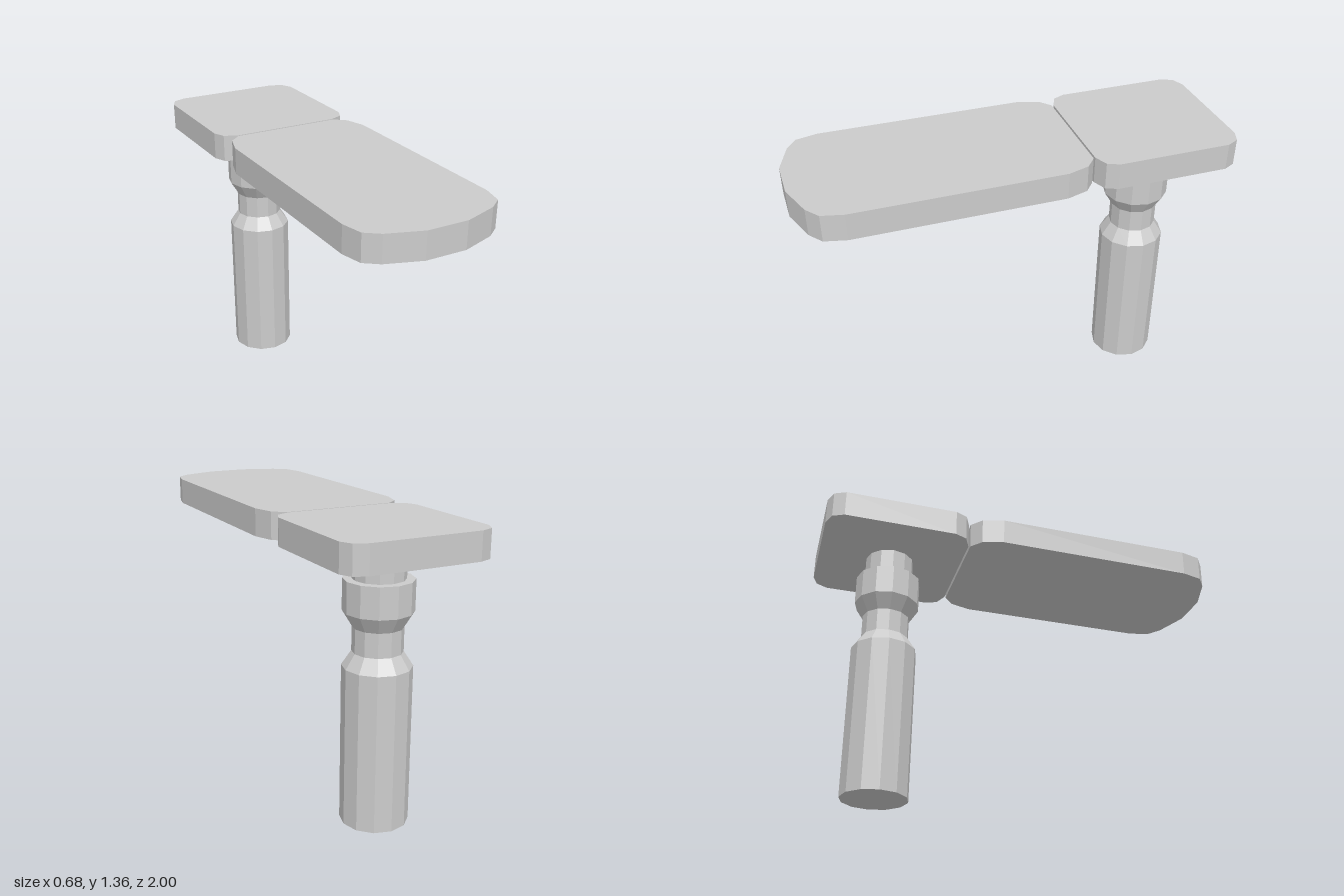
import * as THREE from 'three';

const material = new THREE.MeshStandardMaterial({ color: 0xcccccc, flatShading: true });
const SLAB_BOTTOM = 1.23, SLAB_HEIGHT = 0.125, POST_Z = -0.653;

// Flat slab from one half (+x) of its outline, given as [x, z] from back to front
function slab(name, half) {
  const mirrored = half.map(([x, z]) => [-x, z]).reverse();
  const shape = new THREE.Shape([...half, ...mirrored].map(([x, z]) => new THREE.Vector2(x, -z)));
  const geometry = new THREE.ExtrudeGeometry(shape, { depth: SLAB_HEIGHT, bevelEnabled: false });
  geometry.rotateX(-Math.PI / 2);
  const mesh = new THREE.Mesh(geometry, material);
  mesh.name = name;
  mesh.position.y = SLAB_BOTTOM;
  return mesh;
}

// Twelve-sided turned part from [radius, y] points, bottom to top
function turned(name, profile) {
  const points = profile.map(([r, y]) => new THREE.Vector2(r, y));
  const mesh = new THREE.Mesh(new THREE.LatheGeometry(points, 12), material);
  mesh.name = name;
  mesh.position.z = POST_Z;
  return mesh;
}

export function createModel() {
  const model = new THREE.Group();
  model.name = 'pedestalWithSlabs';

  // Post with a narrowed neck
  model.add(turned('post', [
    [0, 0], [0.155, 0], [0.155, 0.73], [0.112, 0.795],
    [0.112, 0.905], [0.155, 0.975], [0.155, 1.115], [0, 1.115],
  ]));

  // Collar joining the post to the rear slab
  model.add(turned('collar', [[0, 1.115], [0.116, 1.115], [0.116, SLAB_BOTTOM], [0, SLAB_BOTTOM]]));

  // Rear slab, carried by the post
  model.add(slab('rearSlab', [
    [0.255, -1], [0.315, -0.977], [0.342, -0.923],
    [0.342, -0.397], [0.318, -0.342], [0.255, -0.315],
  ]));

  // Long front slab with a rounded nose
  model.add(slab('frontSlab', [
    [0.258, -0.306], [0.312, -0.26], [0.342, -0.16],
    [0.342, 0.797], [0.318, 0.897], [0.255, 0.945], [0.095, 1],
  ]));

  return model;
}
